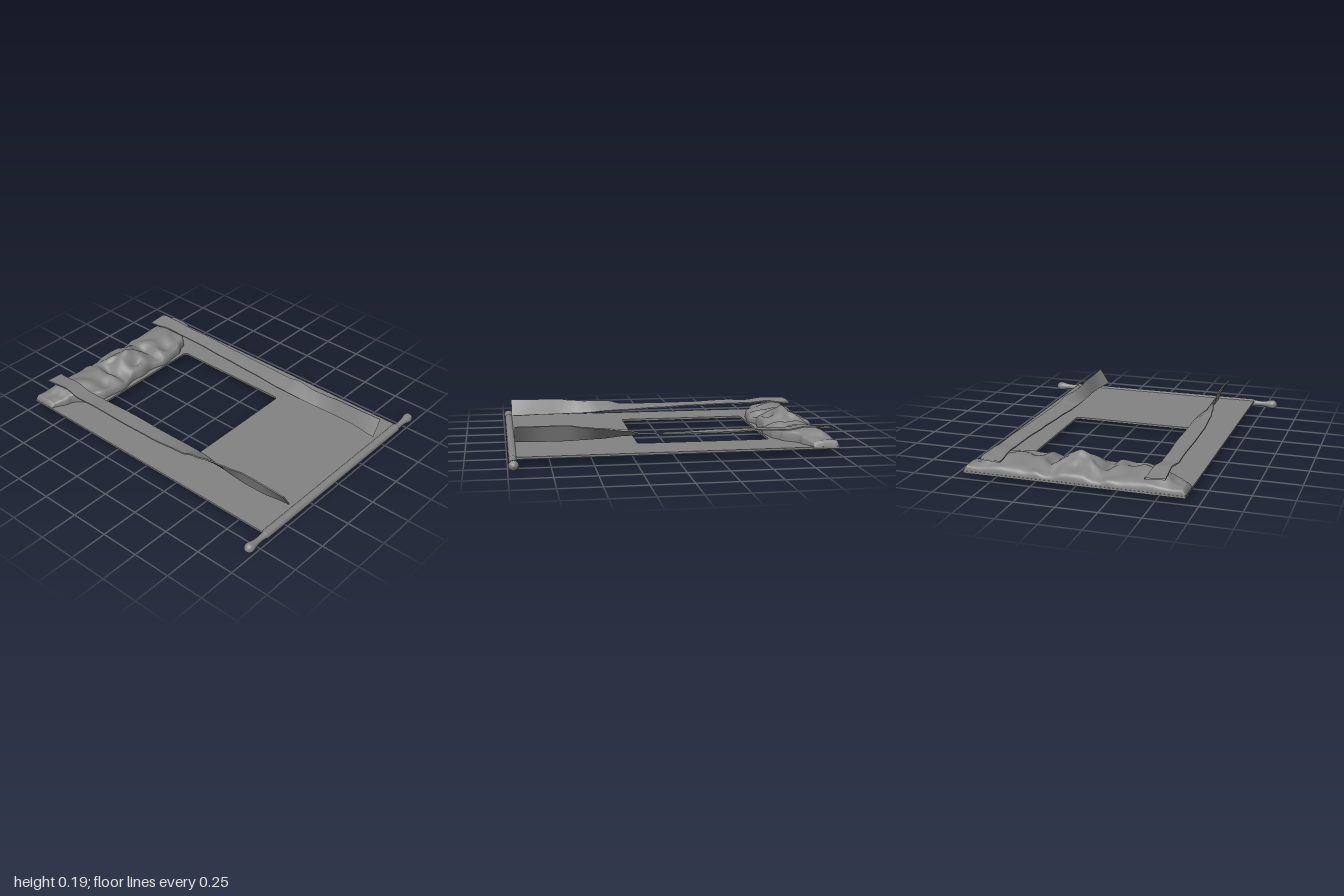
import * as THREE from 'three';

const material = new THREE.MeshStandardMaterial({ color: 0x838383, side: THREE.DoubleSide });

function add(parent, geometry, name) {
  const mesh = new THREE.Mesh(geometry, material);
  mesh.name = name;
  parent.add(mesh);
}

// Smooth interpolation through rows of [position, value, ...]
function sample(rows, t, k = 1) {
  let i = 0;
  while (i < rows.length - 2 && t > rows[i + 1][0]) i++;
  const f = THREE.MathUtils.smoothstep(t, rows[i][0], rows[i + 1][0]);
  return THREE.MathUtils.lerp(rows[i][k], rows[i + 1][k], f);
}

// Surface from a grid of points, rows x columns
function gridSurface(rows, cols, point) {
  const pos = [], index = [];
  for (let i = 0; i <= rows; i++) {
    for (let j = 0; j <= cols; j++) pos.push(...point(i / rows, j / cols));
  }
  for (let i = 0; i < rows; i++) {
    for (let j = 0; j < cols; j++) {
      const a = i * (cols + 1) + j, b = a + cols + 1;
      index.push(a, b, a + 1, b, b + 1, a + 1);
    }
  }
  const g = new THREE.BufferGeometry();
  g.setAttribute('position', new THREE.Float32BufferAttribute(pos, 3));
  g.setIndex(index);
  g.computeVertexNormals();
  return g;
}

// Flat sheet with a rounded window
function makeSheet() {
  const s = new THREE.Shape();
  s.moveTo(-0.675, -0.96).lineTo(0.675, -0.96).lineTo(0.675, 1).lineTo(-0.675, 1).closePath();
  const x = 0.4, lo = -0.2, hi = 0.63, r = 0.025;
  const h = new THREE.Path();
  h.moveTo(-x + r, lo).lineTo(x - r, lo).quadraticCurveTo(x, lo, x, lo + r);
  h.lineTo(x, hi - r).quadraticCurveTo(x, hi, x - r, hi);
  h.lineTo(-x + r, hi).quadraticCurveTo(-x, hi, -x, hi - r);
  h.lineTo(-x, lo + r).quadraticCurveTo(-x, lo, -x + r, lo);
  s.holes.push(h);
  const g = new THREE.ExtrudeGeometry(s, { depth: 0.013, bevelEnabled: false, curveSegments: 5 });
  return g.rotateX(-Math.PI / 2).translate(0, 0.036, 0);
}

// Rod with a necked knob at each end
function makeRod() {
  const half = [[0.84, 0], [0.836, 0.015], [0.825, 0.026], [0.81, 0.031], [0.79, 0.029],
    [0.76, 0.021], [0.72, 0.018], [0.69, 0.02], [0.672, 0.023], [0.67, 0.027]];
  const profile = [
    ...half.map(([x, r]) => new THREE.Vector2(r, -x)),
    ...half.slice().reverse().map(([x, r]) => new THREE.Vector2(r, x)),
  ];
  return new THREE.LatheGeometry(profile, 24).rotateZ(-Math.PI / 2).translate(0, 0.031, 0.966);
}

// Gathered cloth: crest height and front edge vary with |x|
const crest = [[0, 0.148], [0.06, 0.145], [0.13, 0.118], [0.17, 0.108], [0.22, 0.126],
  [0.3, 0.114], [0.4, 0.128], [0.5, 0.13], [0.6, 0.112], [0.65, 0.09], [0.675, 0.064]];
const frontEdge = [[0, -0.655], [0.08, -0.665], [0.2, -0.638], [0.35, -0.655], [0.44, -0.695],
  [0.55, -0.79], [0.675, -0.84]];

function clothPoint(u, v) {
  const x = -0.675 * Math.cos(Math.PI * u) * 0.35 + (u * 2 - 1) * 0.675 * 0.65;
  const a = Math.abs(x);
  // columns bunch up at the edges to give steep rounded walls
  const t = (1 - Math.cos(Math.PI * v)) / 2;
  const z = THREE.MathUtils.lerp(-0.998, sample(frontEdge, a), t);
  const wall = Math.pow(Math.max(0, 1 - Math.pow(Math.abs(2 * t - 1), 14)), 0.4);
  const backSlope = 0.6 + 0.4 * THREE.MathUtils.smoothstep(t, 0, 0.4);
  const frontSlope = 1 - 0.25 * THREE.MathUtils.smoothstep(t, 0.6, 1);
  // backs of the corners keep their full height
  const slope = THREE.MathUtils.lerp(backSlope, 1, THREE.MathUtils.smoothstep(a, 0.6, 0.675));
  let h = (sample(crest, a) - 0.042) * slope * frontSlope;
  // central peak with two ridges running back, hollow in front of it, soft wrinkles
  const bump = (cx, cz, sx, sz) => Math.exp(-(((a - cx) / sx) ** 2) - (((z - cz) / sz) ** 2));
  h += 0.045 * bump(0, -0.81, 0.08, 0.035) + 0.02 * bump(0.09, -0.81 - a * 0.7, 0.05, 0.028);
  h -= 0.035 * bump(0, -0.725, 0.05, 0.028) + 0.02 * bump(0.17, -0.78, 0.035, 0.09);
  h -= 0.015 * bump(0, -0.91, 0.08, 0.04) + 0.012 * bump(0.3, -0.72, 0.06, 0.04);
  h -= 0.025 * bump(0.6, -0.9, 0.035, 0.06);
  const inner = 1 - THREE.MathUtils.smoothstep(a, 0.5, 0.65);
  h += inner * 0.005 * Math.sin(z * 42 + Math.sin(a * 14) * 2.4);
  h += inner * 0.003 * Math.sin(a * 45 + z * 20);
  const end = u === 0 || u === 1 ? 0 : 1;
  return [x, 0.042 + Math.max(0.012, h) * wall * end, z];
}

// Twisting strap rows: z, inner x, inner y, outer x, outer y
const strapRows = [
  [-1, 0.435, 0.128, 0.56, 0.136], [-0.97, 0.44, 0.127, 0.56, 0.145], [-0.83, 0.445, 0.142, 0.55, 0.15],
  [-0.7, 0.455, 0.13, 0.558, 0.135], [-0.56, 0.453, 0.13, 0.556, 0.14], [-0.3, 0.44, 0.127, 0.552, 0.132],
  [-0.05, 0.435, 0.118, 0.547, 0.131], [0.2, 0.425, 0.11, 0.533, 0.138], [0.28, 0.426, 0.107, 0.525, 0.158],
  [0.45, 0.437, 0.095, 0.495, 0.168], [0.53, 0.445, 0.093, 0.49, 0.176],
  [0.64, 0.452, 0.09, 0.485, 0.19], [0.75, 0.45, 0.09, 0.485, 0.19], [0.95, 0.426, 0.09, 0.49, 0.19],
];

// Flat cross-section with doubled corners, so edges stay crisp and faces smooth
const strapRing = [[0, -1], [1, -1], [1, -1], [1, 1], [1, 1], [0, 1], [0, 1], [0, -1]];

function makeStrap(side) {
  return gridSurface(90, 7, (u, v) => {
    const z = -1 + 1.95 * u;
    const [xi, yi, xo, yo] = [1, 2, 3, 4].map((k) => sample(strapRows, z, k));
    // the mirrored strap runs round its section the other way
    const [w, s] = strapRing[Math.round((side > 0 ? 1 - v : v) * 7)];
    const len = Math.hypot(xo - xi, yo - yi);
    const x = THREE.MathUtils.lerp(xi, xo, w) - s * 0.004 * (yo - yi) / len;
    const y = THREE.MathUtils.lerp(yi, yo, w) + s * 0.004 * (xo - xi) / len;
    return [side * x, y, z];
  });
}

export function createModel() {
  const model = new THREE.Group();
  model.name = 'windowBlind';
  add(model, makeSheet(), 'sheet');
  add(model, makeRod(), 'rod');

  // wind the cloth grid so its faces look upward
  add(model, gridSurface(160, 56, (u, v) => clothPoint(1 - u, v)), 'gatheredCloth');

  add(model, makeStrap(1), 'leftStrap');
  add(model, makeStrap(-1), 'rightStrap');
  return model;
}
